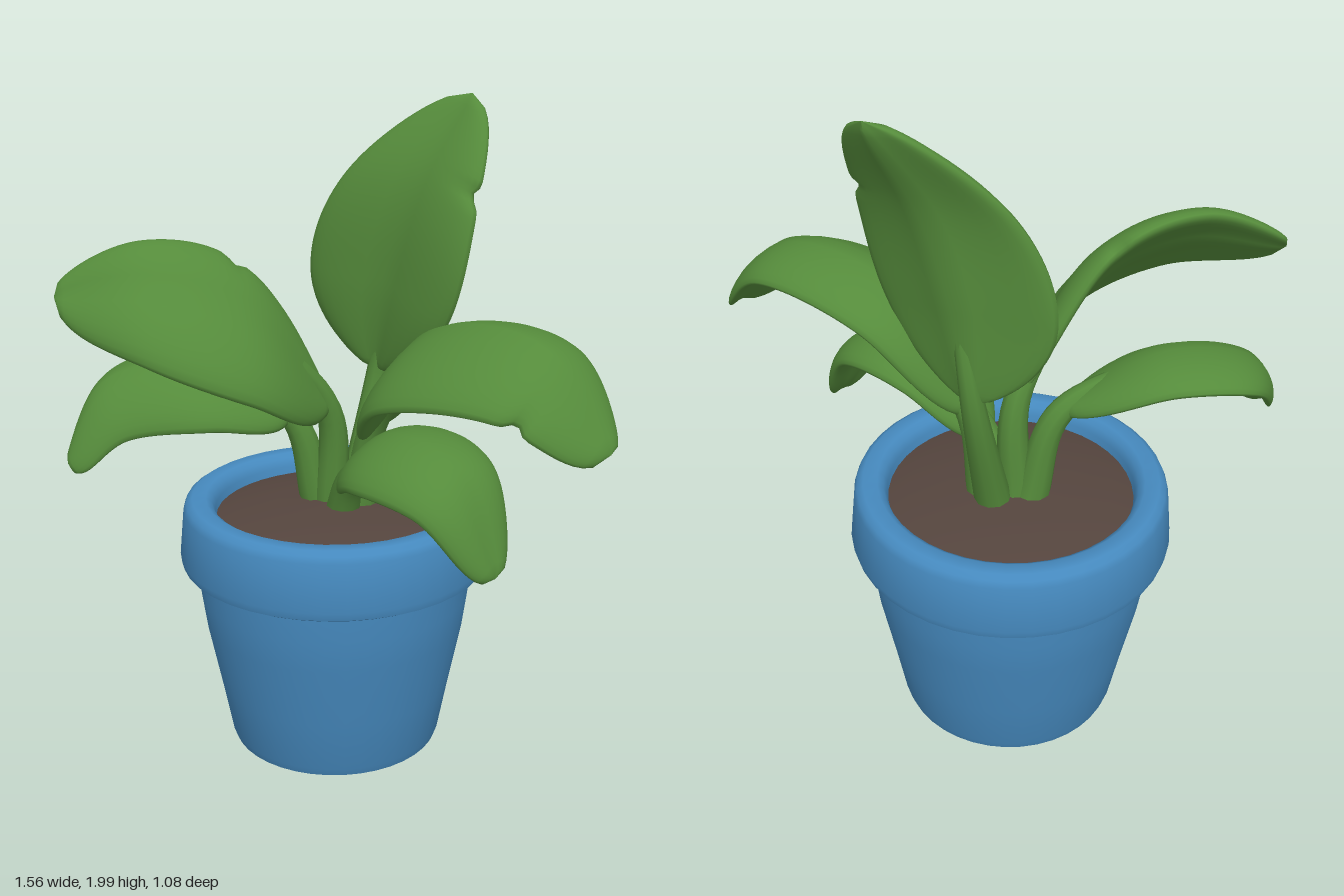
import * as THREE from 'three';
import { toCreasedNormals } from 'three/addons/utils/BufferGeometryUtils.js';

const material = (name, color) => {
  const m = new THREE.MeshStandardMaterial({ color });
  m.name = name;
  return m;
};
const vec = (p) => new THREE.Vector3(...p);
const curve = (pts) => new THREE.CatmullRomCurve3(pts.map(vec));

// Thick leaf blade: a lens section swept along the midrib, widened toward the left and right offsets
function bladeGeometry({ mid, left, right, nick }) {
  const ROWS = 44, HALF = 14, N = HALF * 2;
  const midrib = curve(mid), toLeft = vec(left), toRight = vec(right);
  const across = toRight.clone().sub(toLeft);
  const pos = [], idx = [];
  for (let j = 0; j <= ROWS; j++) {
    const t = j / ROWS;
    const m = midrib.getPoint(t);
    const normal = across.clone().cross(midrib.getTangent(t)).normalize();
    // tapered base, blunt tip
    const round = Math.max(0, Math.sin(Math.PI * t ** 0.85));
    const width = round ** (0.8 - 0.3 * t), ends = round ** 0.35;
    for (let i = 0; i < N; i++) {
      const top = i <= HALF;
      const s = Math.sin((top ? i / HALF - 0.5 : 1.5 - i / HALF) * Math.PI);
      const a = Math.abs(s);
      // small nick in the right margin
      const cut = nick && s > 0 ? 1 - 0.13 * a * Math.exp(-(((t - nick) / 0.025) ** 2)) : 1;
      const thick = 0.034 * Math.sqrt(Math.max(0, 1 - a ** 4)) * (top ? 1 : -1);
      const p = m.clone().addScaledVector(s < 0 ? toLeft : toRight, a * width * cut)
        .addScaledVector(normal, ends * (thick + 0.045 * (a - a * a)));
      pos.push(p.x, p.y, p.z);
    }
  }
  for (let j = 0; j < ROWS; j++) {
    for (let i = 0; i < N; i++) {
      const a = j * N + i, b = j * N + ((i + 1) % N);
      idx.push(a, b, a + N, b, b + N, a + N);
    }
  }
  const g = new THREE.BufferGeometry();
  g.setAttribute('position', new THREE.Float32BufferAttribute(pos, 3));
  g.setIndex(idx);
  g.computeVertexNormals();
  return g;
}

// Stem tube narrowing toward the blade
function stemGeometry(pts) {
  const path = curve(pts), SEG = 20, SIDES = 10;
  const g = new THREE.TubeGeometry(path, SEG, 0.055, SIDES);
  const p = g.attributes.position, v = new THREE.Vector3();
  for (let i = 0; i < p.count; i++) {
    const t = Math.floor(i / (SIDES + 1)) / SEG;
    const c = path.getPointAt(t);
    v.fromBufferAttribute(p, i).sub(c).multiplyScalar(1 - 0.65 * t).add(c);
    p.setXYZ(i, v.x, v.y, v.z);
  }
  return g;
}

// Each leaf: stem root, midrib from base to tip, offsets from midrib to the widest margins
const LEAVES = [
  { name: 'tallBackLeaf', root: [-0.14, 0.75, -0.15], nick: 0.72,
    mid: [[-0.13, 1.16, -0.255], [-0.08, 1.45, -0.25], [0, 1.74, -0.28], [0.1, 1.99, -0.39]],
    left: [-0.29, 0, 0.04], right: [0.28, -0.07, 0.07] },
  { name: 'upperRightLeaf', root: [-0.18, 0.75, -0.09], nick: 0.36,
    mid: [[-0.165, 1.08, -0.06], [-0.26, 1.38, 0.18], [-0.45, 1.47, 0.375], [-0.71, 1.44, 0.5]],
    left: [0.13, -0.21, 0.12], right: [-0.11, 0.14, -0.09] },
  { name: 'lowerRightLeaf', root: [-0.22, 0.75, -0.08],
    mid: [[-0.28, 1.04, -0.02], [-0.49, 1.18, 0.18], [-0.67, 1.14, 0.34], [-0.71, 0.93, 0.49]],
    left: [0.15, -0.14, 0.07], right: [-0.12, -0.01, -0.15] },
  { name: 'upperLeftLeaf', root: [-0.1, 0.75, -0.13], nick: 0.74,
    mid: [[-0.05, 1.02, -0.13], [0.19, 1.34, -0.1], [0.55, 1.375, -0.09], [0.78, 1.14, -0.1]],
    left: [0.02, -0.04, -0.2], right: [-0.01, -0.16, 0.25] },
  { name: 'lowerLeftLeaf', root: [-0.12, 0.75, -0.07],
    mid: [[-0.06, 0.88, -0.04], [0.14, 1.06, 0.03], [0.39, 1.04, 0.07], [0.55, 0.78, 0.08]],
    left: [0.02, -0.02, -0.19], right: [-0.01, -0.1, 0.18] },
];

export function createModel() {
  const model = new THREE.Group();
  model.name = 'pottedPlant';
  const green = material('leaf green', 0x558b3b);
  const blue = material('pot blue', 0x468abf);
  const brown = material('soil brown', 0x55453e);
  const add = (parent, name, geometry, mat) => {
    const mesh = new THREE.Mesh(geometry, mat);
    mesh.name = name;
    parent.add(mesh);
  };
  const lathe = (profile) =>
    new THREE.LatheGeometry(profile.map(([x, y]) => new THREE.Vector2(x, y)), 40);

  // Pot: tapered body, overhanging rounded rim, inner wall
  const pot = new THREE.Group();
  pot.name = 'pot';
  pot.position.set(-0.155, 0, -0.075);
  model.add(pot);
  add(pot, 'potBody', toCreasedNormals(lathe([
    [0, 0.005], [0.3, 0], [0.32, 0.01], [0.329, 0.035], [0.36, 0.2],
    [0.4, 0.4], [0.414, 0.5], [0.418, 0.61],
  ]), 0.7), blue);
  add(pot, 'potRim', toCreasedNormals(lathe([
    [0.4, 0.598], [0.45, 0.592], [0.466, 0.601], [0.472, 0.625], [0.458, 0.77], [0.45, 0.79],
    [0.432, 0.802], [0.39, 0.802], [0.372, 0.79], [0.362, 0.765], [0.355, 0.7],
  ]), 0.7), blue);
  // Soil: low dome
  add(pot, 'soil', lathe([[0.365, 0.74], [0.3, 0.757], [0.18, 0.775], [0, 0.785]]), brown);

  // Leaves: the stem runs on under the start of each blade
  for (const leaf of LEAVES) {
    const g = new THREE.Group();
    g.name = leaf.name;
    model.add(g);
    add(g, 'stem', stemGeometry([leaf.root, leaf.mid[0], leaf.mid[1]]), green);
    add(g, 'blade', bladeGeometry(leaf), green);
  }
  return model;
}
